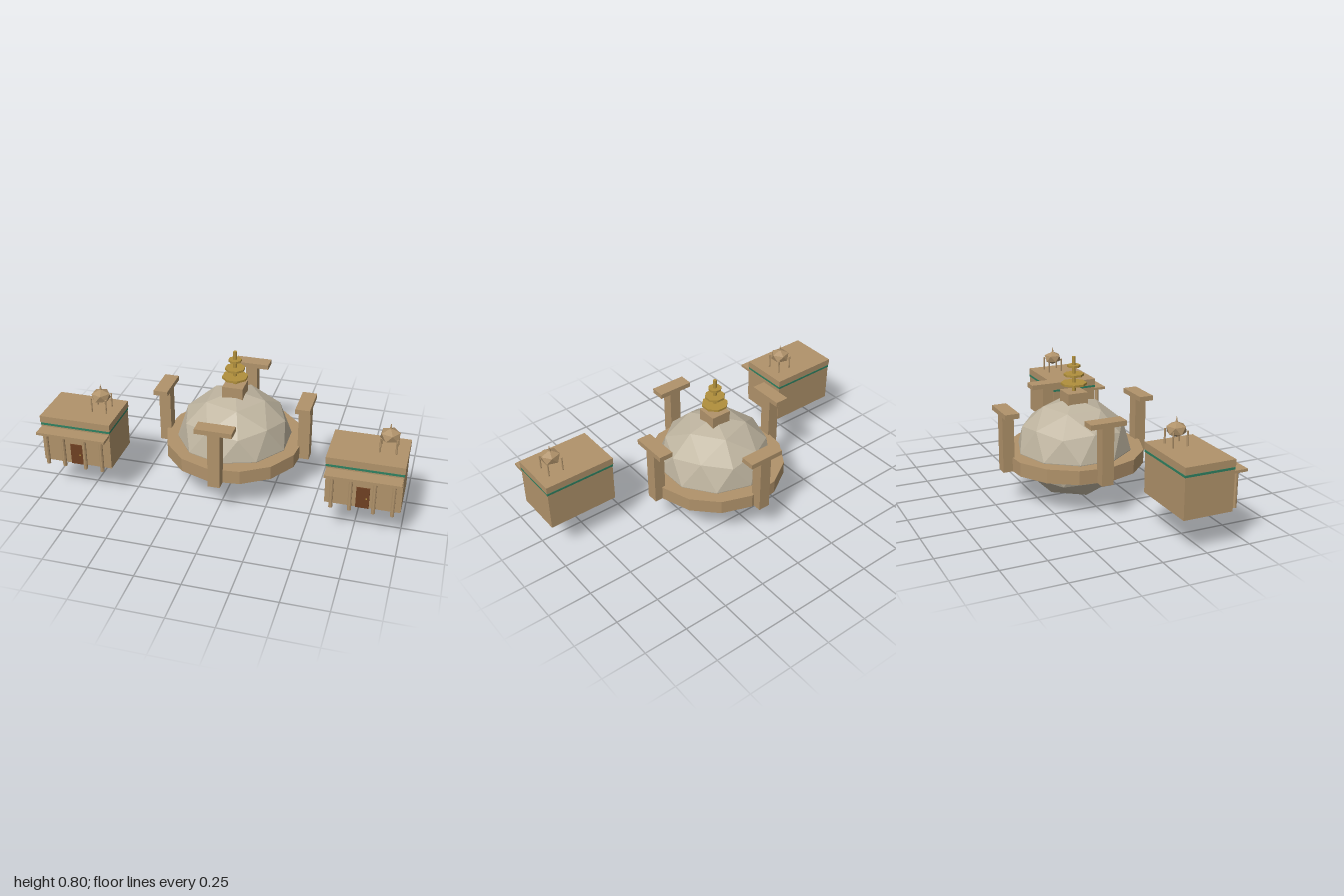
import * as THREE from 'three';

const mat = (name, color) => {
  const m = new THREE.MeshStandardMaterial({ color });
  m.name = name;
  return m;
};

// Give every facet its own normal for the low-poly look
const facet = (geo) => {
  const g = geo.index ? geo.toNonIndexed() : geo;
  g.computeVertexNormals();
  return g;
};

const add = (parent, name, geo, material, x, y, z) => {
  const mesh = new THREE.Mesh(geo, material);
  mesh.name = name;
  mesh.position.set(x, y, z);
  parent.add(mesh);
  return mesh;
};

// Box given by its centre in x and z and its bottom and top heights
const box = (parent, name, material, x, z, w, d, y0, y1) =>
  add(parent, name, new THREE.BoxGeometry(w, y1 - y0, d), material, x, (y0 + y1) / 2, z);

// Faceted upright prism; turn rotates its corners
const prism = (parent, name, material, x, z, r, y0, y1, sides = 8, turn = Math.PI / sides, rTop = r) =>
  add(parent, name, facet(new THREE.CylinderGeometry(rTop, r, y1 - y0, sides).rotateY(turn)),
    material, x, (y0 + y1) / 2, z);

// Icosphere with a corner straight up, squashed in height
const icoBall = (r, ry, detail) => facet(new THREE.IcosahedronGeometry(1, detail)
  .rotateZ(-Math.atan2(2, 1 + Math.sqrt(5))).scale(r, ry, r));

export function createModel() {
  const sandstone = mat('sandstone', 0xb0926a);
  const paleStone = mat('pale stone', 0xbfb5a0);
  const gold = mat('gold', 0xb08f3c);
  const green = mat('green trim', 0x2f8060);
  const brown = mat('door brown', 0x6e4022);

  const model = new THREE.Group();
  model.name = 'domedShrine';

  // Central dome with its surrounding terrace
  const shrine = new THREE.Group();
  shrine.name = 'shrine';
  shrine.position.z = -0.022;
  model.add(shrine);
  add(shrine, 'dome', icoBall(0.325, 0.28, 1), paleStone, 0, 0.28, 0);
  prism(shrine, 'terrace', sandstone, 0, 0, 0.395, 0.197, 0.276, 14, -0.123);

  // Four gate pillars with wide lintels
  for (let i = 0; i < 4; i++) {
    const gate = new THREE.Group();
    gate.name = 'gate';
    gate.rotation.y = i * Math.PI / 2;
    shrine.add(gate);
    box(gate, 'gatePillar', sandstone, 0, 0.405, 0.068, 0.066, 0.196, 0.522);
    box(gate, 'gateLintel', sandstone, 0, 0.405, 0.206, 0.081, 0.52, 0.548);
  }

  // Crowning block and tiered spire
  box(shrine, 'crownBlock', sandstone, 0, 0, 0.117, 0.117, 0.53, 0.603);
  prism(shrine, 'spirePole', gold, 0, 0, 0.0108, 0.6, 0.8);
  [[0.073, 0.646], [0.056, 0.697], [0.037, 0.747]].forEach(([r, y]) =>
    prism(shrine, 'spireDisc', gold, 0, 0, r, y - 0.006, y + 0.006));

  // Two identical side houses
  for (const x of [-0.796, 0.796]) {
    const house = new THREE.Group();
    house.name = 'house';
    house.position.set(x, 0, 0.25);
    model.add(house);
    box(house, 'walls', sandstone, 0, 0, 0.4, 0.28, 0.197, 0.436);
    box(house, 'greenBand', green, 0, 0, 0.404, 0.284, 0.42, 0.432);
    box(house, 'roof', sandstone, 0, 0, 0.408, 0.286, 0.435, 0.474);

    // Porch with posts and door
    box(house, 'porchRoof', sandstone, 0, 0.177, 0.396, 0.08, 0.396, 0.411);
    for (const px of [-0.16, -0.062, 0.062, 0.16])
      prism(house, 'porchPost', sandstone, px, 0.177, 0.011, 0.197, 0.397);
    box(house, 'door', brown, 0, 0.143, 0.07, 0.009, 0.198, 0.32);
    add(house, 'doorKnob', new THREE.SphereGeometry(0.005, 8, 6), gold, 0.02, 0.258, 0.149);

    // Rooftop tank on four legs with a pointed finial
    const tank = new THREE.Group();
    tank.name = 'roofTank';
    tank.position.set(0.098, 0, -0.02);
    house.add(tank);
    add(tank, 'tankBody', icoBall(0.058, 0.0415, 0), sandstone, 0, 0.558, 0);
    for (const sx of [-1, 1])
      for (const sz of [-1, 1])
        prism(tank, 'tankLeg', sandstone, sx * 0.042, sz * 0.042, 0.005, 0.472, 0.556, 6);
    prism(tank, 'tankFinial', sandstone, 0, 0, 0.008, 0.592, 0.63, 6, 0, 0);
  }

  return model;
}
